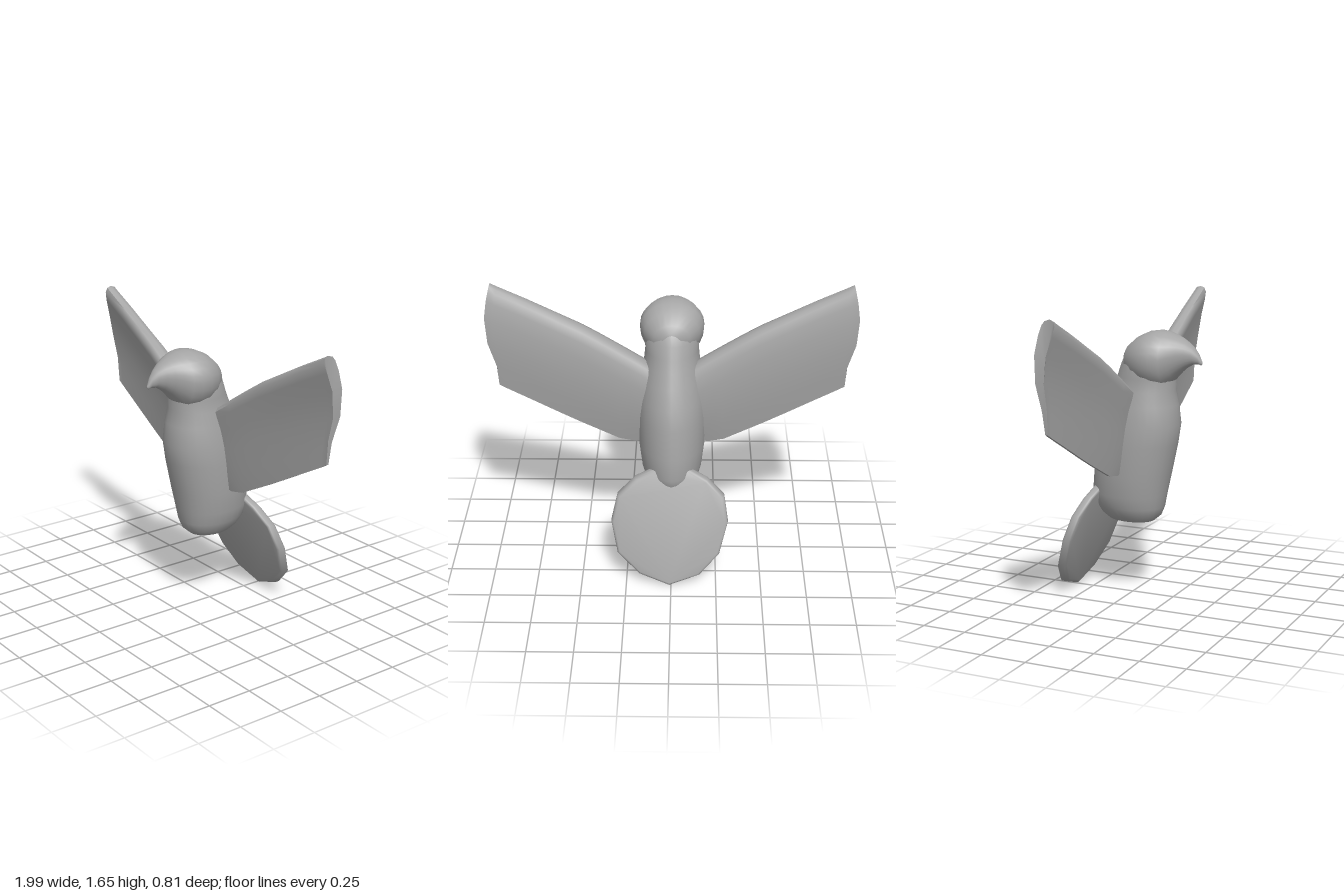
import * as THREE from 'three';
import { toCreasedNormals } from 'three/addons/utils/BufferGeometryUtils.js';

// Skin a list of equal-length rings, close both ends, and face outward.
function loft(rings, crease) {
  const n = rings[0].length, pos = [], idx = [];
  rings.forEach(r => r.forEach(p => pos.push(...p)));
  for (let i = 0; i < rings.length - 1; i++) {
    for (let j = 0; j < n; j++) {
      const a = i * n + j, b = i * n + (j + 1) % n;
      idx.push(a, b, b + n, a, b + n, a + n);
    }
  }
  [[0, 1], [rings.length - 1, -1]].forEach(([i, dir]) => {
    const c = pos.length / 3;
    pos.push(...[0, 1, 2].map(k => rings[i].reduce((s, p) => s + p[k], 0) / n));
    for (let j = 0; j < n; j++) {
      const a = i * n + j, b = i * n + (j + 1) % n;
      if (dir > 0) idx.push(c, b, a); else idx.push(c, a, b);
    }
  });
  // A negative volume means the corners run the wrong way round.
  const v = k => new THREE.Vector3().fromArray(pos, idx[k] * 3);
  let volume = 0;
  for (let k = 0; k < idx.length; k += 3) volume += v(k).dot(v(k + 1).cross(v(k + 2)));
  if (volume < 0) idx.reverse();
  const g = new THREE.BufferGeometry();
  g.setAttribute('position', new THREE.Float32BufferAttribute(pos, 3));
  g.setIndex(idx);
  g.computeVertexNormals();
  return crease ? toCreasedNormals(g, crease) : g;
}

const spow = (v, p) => Math.sign(v) * Math.abs(v) ** p;
const mix = THREE.MathUtils.lerp;

// Trunk: [y, front z, back z, half width]
function bodyGeometry() {
  const rows = [
    [0.42, 0.09, -0.11, 0.06], [0.43, 0.13, -0.14, 0.095], [0.46, 0.165, -0.18, 0.125],
    [0.51, 0.185, -0.215, 0.15], [0.58, 0.197, -0.238, 0.168], [0.7, 0.222, -0.228, 0.184],
    [0.87, 0.258, -0.214, 0.19], [0.98, 0.275, -0.187, 0.187], [1.09, 0.262, -0.145, 0.172],
    [1.17, 0.245, -0.112, 0.155], [1.24, 0.25, -0.085, 0.147], [1.31, 0.24, -0.06, 0.15],
    [1.38, 0.2, -0.03, 0.12], [1.42, 0.16, 0.02, 0.06],
  ];
  return loft(rows.map(([y, f, b, w]) => {
    const mid = mix(b, f, 0.56);
    return Array.from({ length: 28 }, (_, j) => {
      const a = j / 28 * Math.PI * 2, c = Math.cos(a), s = Math.sin(a);
      return [w * spow(c, s < 0 ? 1.12 : 0.9), y, mid + s * (s < 0 ? mid - b : f - mid)];
    });
  }));
}

// Head tapering into a hooked beak: [z, top y, bottom y, half width]
function headGeometry() {
  const rows = [
    [-0.035, 1.38, 1.27, 0.05], [-0.01, 1.415, 1.23, 0.1], [0.05, 1.465, 1.2, 0.15],
    [0.11, 1.492, 1.18, 0.174], [0.165, 1.5, 1.18, 0.176], [0.215, 1.493, 1.19, 0.155],
    [0.255, 1.48, 1.235, 0.125], [0.29, 1.465, 1.272, 0.095], [0.325, 1.445, 1.302, 0.066],
    [0.36, 1.418, 1.322, 0.04], [0.39, 1.382, 1.325, 0.02], [0.405, 1.35, 1.32, 0.01],
    [0.412, 1.337, 1.325, 0.004],
  ];
  return loft(rows.map(([z, t, b, w]) => Array.from({ length: 24 }, (_, j) => {
    const a = j / 24 * Math.PI * 2, mid = mix(b, t, 0.54), s = Math.sin(a);
    return [w * spow(Math.cos(a), 0.92), mid + s * (s > 0 ? t - mid : mid - b), z];
  })));
}

// Wing: [leading x, leading y, trailing x, trailing y, span fraction]
function wingGeometry(side) {
  const spans = [
    [0.08, 1.15, 0.08, 0.735, 0], [0.16, 1.205, 0.2, 0.712, 0.1], [0.26, 1.27, 0.29, 0.73, 0.2],
    [0.37, 1.34, 0.4, 0.785, 0.33], [0.48, 1.407, 0.5, 0.835, 0.46], [0.6, 1.468, 0.61, 0.893, 0.6],
    [0.78, 1.56, 0.78, 0.985, 0.8], [0.93, 1.632, 0.905, 1.052, 0.96], [0.965, 1.65, 0.94, 1.072, 1],
  ];
  // Chord section: [position along chord, z at root, z at tip]
  const section = [
    [0, 0.025, 0.005], [0.015, 0.06, 0.028], [0.06, 0.08, 0.036], [0.14, 0.075, 0.026],
    [0.3, 0.058, 0], [0.55, 0.04, -0.02], [0.8, 0.022, -0.026], [1, 0.004, -0.026],
    [1, -0.012, -0.04], [0.8, -0.034, -0.054], [0.55, -0.05, -0.067], [0.3, -0.055, -0.065],
    [0.14, -0.046, -0.05], [0.05, -0.03, -0.036], [0.015, -0.008, -0.022],
  ];
  return loft(spans.map(([lx, ly, tx, ty, u]) => section.map(([t, r, e]) => {
    const bulge = t < 0.8 ? 0.042 * Math.sin(Math.PI * t / 0.8) * u ** 5 : 0;
    return [side * (mix(lx, tx, t) + bulge), mix(ly, ty, t), mix(r, e, u)];
  })), 0.9);
}

// Fan tail: a bevelled plate sheared backwards towards its lower edge
function tailGeometry() {
  const outline = [
    [0.01, 0.015], [0.17, 0.075], [0.285, 0.185], [0.318, 0.345], [0.285, 0.48], [0.19, 0.565],
    [0.08, 0.615], [-0.08, 0.615], [-0.19, 0.56], [-0.28, 0.475], [-0.3, 0.345], [-0.255, 0.18],
    [-0.15, 0.07],
  ];
  const g = new THREE.ExtrudeGeometry(new THREE.Shape(outline.map(p => new THREE.Vector2(...p))), {
    depth: 0.018, bevelThickness: 0.019, bevelSize: 0.015, bevelSegments: 3,
  });
  const p = g.attributes.position;
  for (let i = 0; i < p.count; i++) p.setZ(i, p.getZ(i) - 0.385 + 0.34 * p.getY(i));
  return toCreasedNormals(g, 0.9);
}

export function createModel() {
  const grey = new THREE.MeshStandardMaterial({ color: 0xa6a6a6 });
  grey.name = 'plain grey';
  const group = new THREE.Group();
  group.name = 'bird';
  const add = (name, geometry) => {
    const mesh = new THREE.Mesh(geometry, grey);
    mesh.name = name;
    group.add(mesh);
  };
  add('body', bodyGeometry());
  add('headAndBeak', headGeometry());
  add('leftWing', wingGeometry(1));
  add('rightWing', wingGeometry(-1));
  add('tail', tailGeometry());
  return group;
}
